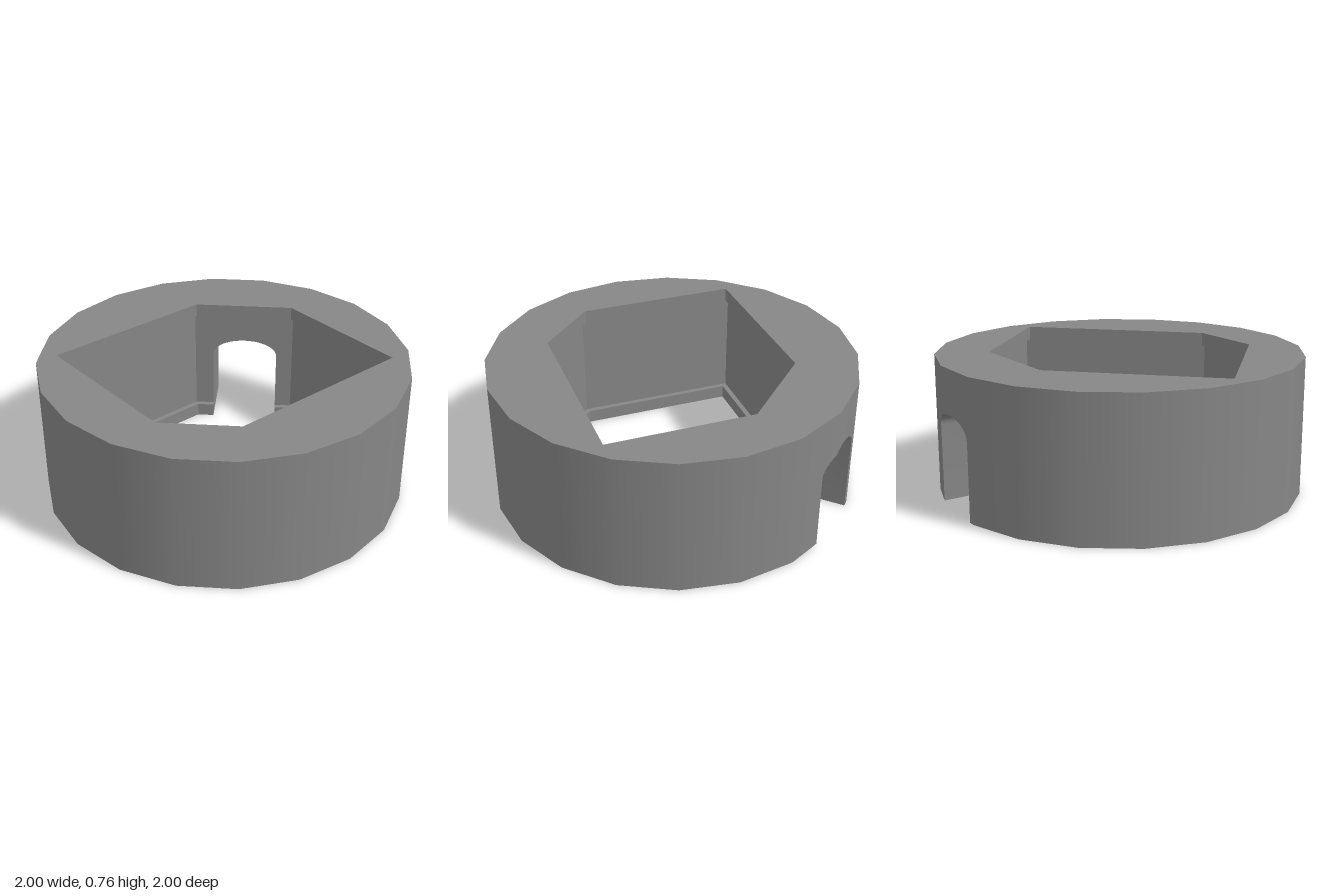
import * as THREE from 'three';
import { toCreasedNormals } from 'three/addons/utils/BufferGeometryUtils.js';

const H = 0.76, LIP = 0.076, LEDGE = 0.03;       // height, lip height, lip overhang
const SPRING = 0.42, RISE = 0.097;               // arch of the side opening
const MID = 0.07, HALF = 0.19;                   // opening centre and half width
const LO = MID - HALF, HI = MID + HALF;
const D_HOLE = 0.62, D_CAV = D_HOLE + LEDGE;     // distance of the slotted chamfer
const STEP = Math.PI / 10, APOTHEM = Math.cos(STEP / 2);

// Plan point from p (across the opening) and d (outward through it)
const plan = (p, d) => [(p + d) * Math.SQRT1_2, (p - d) * Math.SQRT1_2];
const outerD = (p) => Math.min(APOTHEM, (APOTHEM - Math.abs(p) * Math.sin(STEP)) / Math.cos(STEP));

// Six-cornered hole, grown outward by o, clockwise from above
function hole(o) {
  const X = 0.68 + o, Z = 0.59 + o;
  const s1 = (D_HOLE + o) * Math.SQRT2, s2 = (0.685 + o) * Math.SQRT2;
  return [[-X, -Z], [s1 - Z, -Z], [X, X - s1], [X, Z], [Z - s2, Z], [-X, s2 - X]];
}
// The same hole as an open path that starts and ends at the slotted chamfer
const opened = (h) => [...h.slice(2), ...h.slice(0, 2)];

// Quads between two rows of [x, y, z] points
function strip(lower, upper) {
  const pos = [];
  for (let i = 0; i + 1 < lower.length; i++) {
    const [a, b, c, d] = [lower[i], lower[i + 1], upper[i + 1], upper[i]];
    pos.push(...a, ...b, ...c, ...a, ...c, ...d);
  }
  const g = new THREE.BufferGeometry();
  g.setAttribute('position', new THREE.Float32BufferAttribute(pos, 3));
  g.computeVertexNormals();
  return g;
}

// Upright wall over [x, z, bottom] points
const wall = (pts, y0, y1) => strip(
  pts.map(([x, z, y = y0]) => [x, y, z]),
  pts.map(([x, z]) => [x, y1, z]));

// Flat horizontal face with optional hole
function cap(pts, y, up, inner) {
  const s = up ? -1 : 1;
  const v = (list) => list.map(([x, z]) => new THREE.Vector2(x, s * z));
  const shape = new THREE.Shape(v(pts));
  if (inner) shape.holes.push(new THREE.Path(v(inner)));
  return new THREE.ShapeGeometry(shape).rotateX(s * Math.PI / 2).translate(0, y, 0);
}

export function createModel() {
  const group = new THREE.Group();
  const material = new THREE.MeshStandardMaterial({ color: 0x868686 });
  const add = (name, geometry) => {
    const mesh = new THREE.Mesh(geometry, material);
    mesh.name = name;
    group.add(mesh);
  };

  // Arch samples from low to high p, with the outer polygon's corner included
  const ps = [Math.sin(STEP / 2)];
  for (let i = 0; i <= 24; i++) ps.push(MID - HALF * Math.cos(Math.PI * i / 24));
  ps.sort((a, b) => a - b);
  const arch = ps.map((p) => [p, SPRING + RISE * Math.sqrt(Math.max(0, 1 - ((p - MID) / HALF) ** 2))]);
  const opening = [[LO, 0], ...arch, [HI, 0]];

  // Twenty-sided outside, cut by the opening
  const rim = [];
  for (let k = 3; k <= 21; k++) rim.push([Math.cos(k * STEP), -Math.sin(k * STEP)]);
  const cut = opening.map(([p, y]) => [...plan(p, outerD(p)), y]).reverse();
  const outside = wall([...rim, ...cut, rim[0]], 0, H);
  const pos = outside.attributes.position, n = new THREE.Vector3();
  for (let i = 0; i < pos.count; i++) {
    n.set(pos.getX(i), 0, pos.getZ(i)).normalize();
    outside.attributes.normal.setXYZ(i, n.x, 0, n.z);
  }
  add('outerWall', outside);

  // Cavity between the two lips
  const mouth = hole(0), cavity = hole(LEDGE);
  const cavityPath = opened(cavity), mouthPath = opened(mouth);
  const cutInside = opening.map(([p, y]) => [...plan(p, D_CAV), Math.max(y, LIP)]);
  add('cavityWall', wall([...cavityPath, ...cutInside, cavityPath[0]], LIP, H - LIP));

  // Lips, ledges and the top and bottom faces
  const lipPath = [plan(HI, D_HOLE), ...mouthPath, plan(LO, D_HOLE)];
  const ledgePath = [plan(HI, D_CAV), ...cavityPath, plan(LO, D_CAV)];
  const fullRim = Array.from({ length: 20 }, (_, k) => [Math.cos(k * STEP), -Math.sin(k * STEP)]);
  add('topLip', wall([...mouth, mouth[0]], H - LIP, H));
  add('bottomLip', wall(lipPath, 0, LIP));
  add('topFace', cap(fullRim, H, true, mouth));
  add('topLedge', cap(cavity, H - LIP, false, mouth));
  add('bottomLedge', cap([...ledgePath, ...[...lipPath].reverse()], LIP, true));
  add('bottomFace', cap([...rim, plan(HI, outerD(HI)), ...lipPath, plan(LO, outerD(LO))], 0, false));

  // Arched passage through the wall, and its ends at the bottom lip
  const row = (list, d) => list.map(([p, y]) => {
    const [x, z] = plan(p, typeof d === 'function' ? d(p) : d);
    return [x, y, z];
  });
  add('sideOpening', toCreasedNormals(strip(row(opening, outerD), row(opening, D_CAV)), 0.6));
  for (const jamb of [[[LO, 0], [LO, LIP]], [[HI, LIP], [HI, 0]]]) {
    add('lipEnd', strip(row(jamb, D_CAV), row(jamb, D_HOLE)));
  }
  return group;
}
